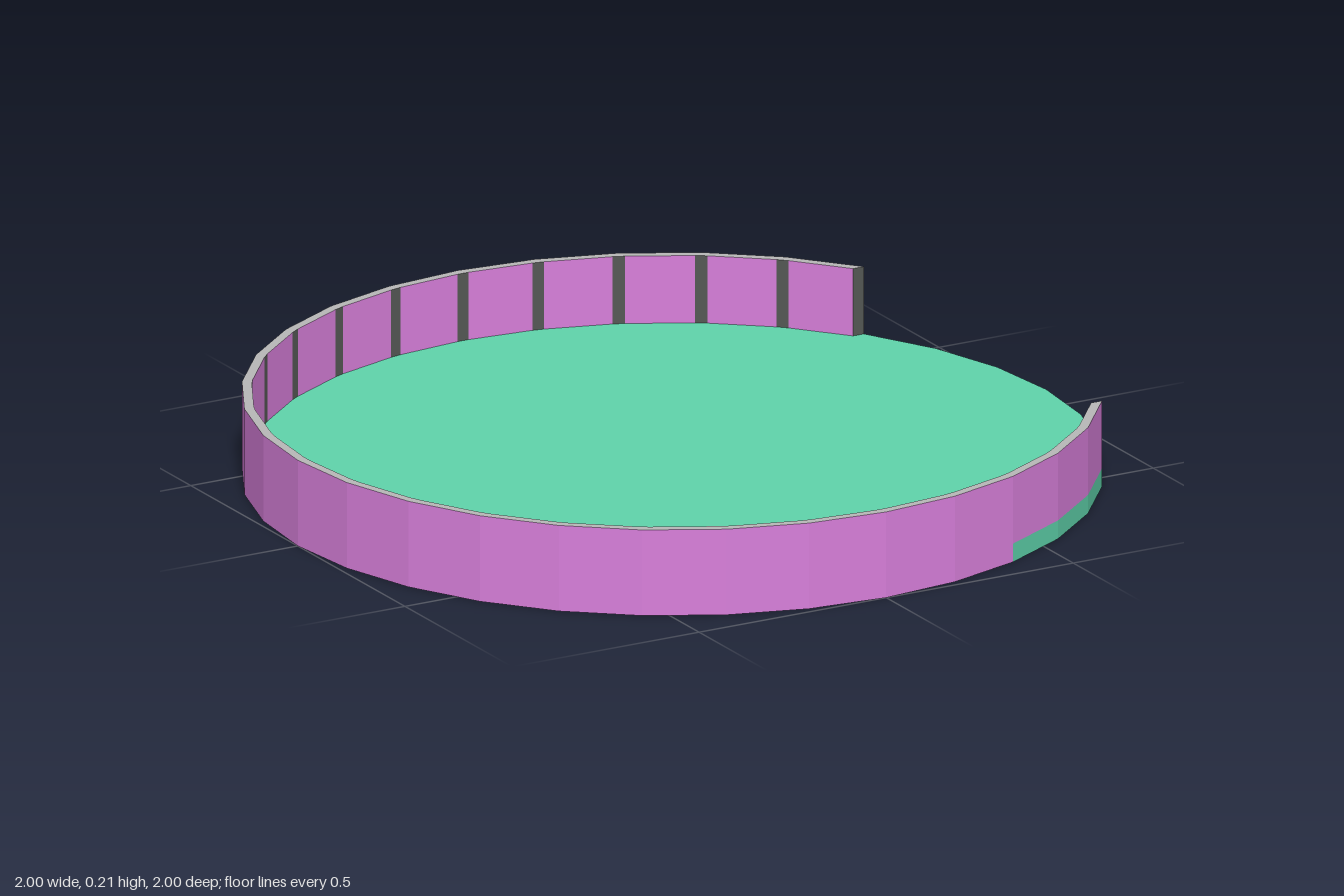
import * as THREE from 'three';

const SIDES = 32, STEP = (Math.PI * 2) / SIDES;
const FLOOR = 0.045, TOP = 0.21, INNER = 0.976, STRIPE = 0.0148;

const mat = (color) => new THREE.MeshStandardMaterial({ color, flatShading: true });
const green = mat(0x5fd3ab), purple = mat(0xd87fdb), grey = mat(0xb8b8b8), dark = mat(0x555855);

// point on the plan at an angle measured from +x towards +z
const polar = (r, a) => [r * Math.cos(a), r * Math.sin(a)];

// upright rectangles, one for each pair of plan points, facing the left of a -> b
function panels(pairs, y0, y1) {
  const pos = [];
  for (const [[ax, az], [bx, bz]] of pairs) {
    pos.push(ax, y0, az, bx, y0, bz, bx, y1, bz);
    pos.push(ax, y0, az, bx, y1, bz, ax, y1, az);
  }
  const g = new THREE.BufferGeometry();
  g.setAttribute('position', new THREE.Float32BufferAttribute(pos, 3));
  g.computeVertexNormals();
  return g;
}

// open band of outer facets, centred on -x or +x
function band(segments, centre, y0, y1) {
  const arc = segments * STEP;
  const g = new THREE.CylinderGeometry(1, 1, y1 - y0, segments, 1, true, centre - arc / 2, arc);
  return g.translate(0, (y0 + y1) / 2, 0);
}

export function createModel() {
  const model = new THREE.Group();
  const add = (name, geometry, material) => {
    const m = new THREE.Mesh(geometry, material);
    m.name = name;
    model.add(m);
  };

  // floor disc: top, underside and the part of its edge left uncovered
  add('floorTop', new THREE.CircleGeometry(1, SIDES).rotateX(-Math.PI / 2).translate(0, FLOOR, 0), green);
  add('floorUnderside', new THREE.CircleGeometry(1, SIDES).rotateX(Math.PI / 2), green);
  add('floorEdge', band(12, Math.PI / 2, 0, FLOOR), green);

  // outside of the wall, with a skirt covering the floor edge at the back of the opening
  add('wallOutside', band(26, Math.PI * 1.5, FLOOR, TOP), purple);
  add('wallSkirt', band(20, Math.PI * 1.5, 0, FLOOR), purple);

  // inside of the wall: wide panels with a narrow dark joint at every corner
  const first = 3, last = SIDES - 3;
  const outer = [];
  for (let i = first; i <= last; i++) outer.push(polar(1, i * STEP));
  const start = [0.802, outer[0][1]], end = [0.802, outer[outer.length - 1][1]];
  const inner = [start], wide = [], joints = [];
  for (let i = first + 1; i < last; i++) {
    const a = polar(INNER, i * STEP - STRIPE), b = polar(INNER, i * STEP + STRIPE);
    wide.push([inner[inner.length - 1], a]);
    joints.push([a, b]);
    inner.push(a, b);
  }
  wide.push([inner[inner.length - 1], end]);
  inner.push(end);
  add('wallInside', panels(wide, FLOOR, TOP), purple);
  add('wallJoints', panels(joints, FLOOR, TOP), dark);
  add('wallEnds', panels([[outer[0], start], [end, outer[outer.length - 1]]], FLOOR, TOP), dark);

  // flat rim on top of the wall
  const loop = [...outer, ...inner.reverse()].map(([x, z]) => new THREE.Vector2(x, -z));
  const rim = new THREE.ShapeGeometry(new THREE.Shape(loop)).rotateX(-Math.PI / 2);
  add('wallRim', rim.translate(0, TOP, 0), grey);

  return model;
}
